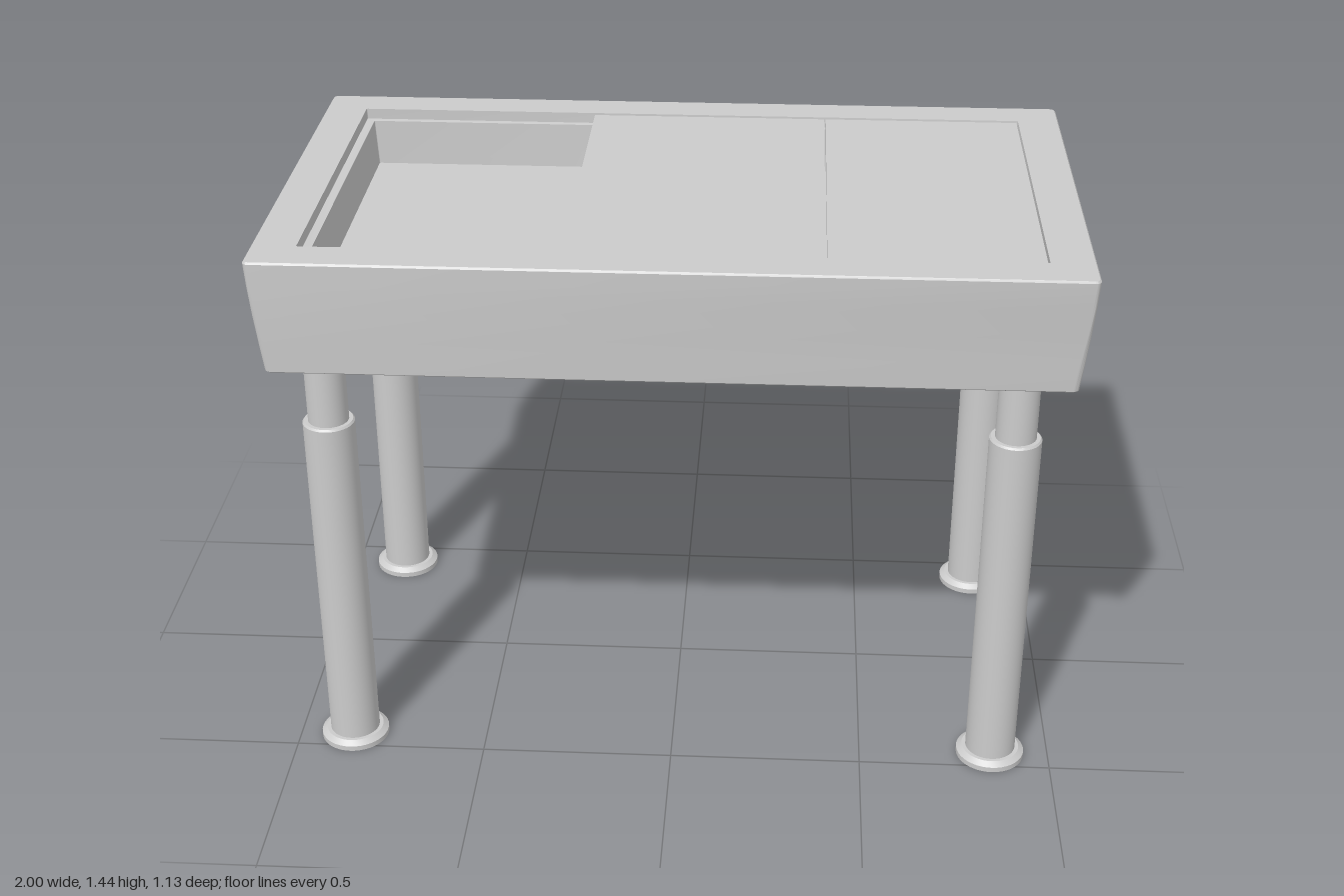
import * as THREE from 'three';
import { toCreasedNormals } from 'three/addons/utils/BufferGeometryUtils.js';

const material = new THREE.MeshStandardMaterial({ color: 0xcccccc });

function addMesh(parent, name, geometry, x = 0, y = 0, z = 0) {
  const mesh = new THREE.Mesh(geometry, material);
  mesh.name = name;
  mesh.position.set(x, y, z);
  parent.add(mesh);
  return mesh;
}

// Rounded rectangle ring, seen counter-clockwise in x / -z
function ring([hx, hz, y, r], steps = 5) {
  const points = [];
  const corners = [[1, 1], [-1, 1], [-1, -1], [1, -1]];
  corners.forEach(([sx, sz], c) => {
    for (let i = 0; i <= steps; i++) {
      const a = (c + i / steps) * Math.PI / 2;
      points.push([sx * (hx - r) + r * Math.cos(a), y, -(sz * (hz - r) + r * Math.sin(a))]);
    }
  });
  return points;
}

// Skin a list of rings and close both ends
function loft(sections) {
  const positions = [], index = [];
  const rings = sections.map((s) => ring(s));
  const n = rings[0].length;
  rings.forEach((r) => r.forEach((p) => positions.push(...p)));
  for (let k = 0; k < rings.length - 1; k++) {
    for (let i = 0; i < n; i++) {
      const j = (i + 1) % n;
      const a = k * n + i, b = k * n + j, c = a + n, d = b + n;
      index.push(a, b, d, a, d, c);
    }
  }
  const last = (rings.length - 1) * n;
  const bottom = positions.length / 3;
  positions.push(0, sections[0][2], 0, 0, sections.at(-1)[2], 0);
  for (let i = 0; i < n; i++) {
    const j = (i + 1) % n;
    index.push(bottom, j, i, bottom + 1, last + i, last + j);
  }
  const geometry = new THREE.BufferGeometry();
  geometry.setAttribute('position', new THREE.Float32BufferAttribute(positions, 3));
  geometry.setIndex(index);
  return toCreasedNormals(geometry, 0.6);
}

function lathe(profile) {
  const points = profile.map(([r, y]) => new THREE.Vector2(r, y));
  return toCreasedNormals(new THREE.LatheGeometry(points, 40), 0.6);
}

export function createModel() {
  const table = new THREE.Group();
  table.name = 'table';

  // Tub: underside, flared outer wall, rim, stepped inner wall, floor
  addMesh(table, 'tub', loft([
    [0.970, 0.550, 1.145, 0.014],
    [0.974, 0.555, 1.149, 0.016],
    [0.982, 0.559, 1.22, 0.016],
    [0.990, 0.563, 1.30, 0.016],
    [0.996, 0.565, 1.37, 0.016],
    [1.000, 0.566, 1.435, 0.016],
    [0.996, 0.562, 1.44, 0.012],
    [0.890, 0.465, 1.44, 0.003],
    [0.889, 0.464, 1.412, 0.003],
    [0.868, 0.452, 1.41, 0.003],
    [0.860, 0.445, 1.29, 0.003],
  ]));

  // Sliding lid panels resting on the inner ledge
  [[-0.26, 0.366], [0.37, 0.886]].forEach(([x0, x1], i) => {
    addMesh(table, i ? 'fixedLidPanel' : 'slidingLidPanel',
      new THREE.BoxGeometry(x1 - x0, 0.024, 0.922), (x0 + x1) / 2, 1.424, 0);
  });

  // Telescopic legs with round feet
  for (const x of [-0.855, 0.847]) {
    for (const z of [-0.422, 0.437]) {
      const leg = new THREE.Group();
      leg.name = (z > 0 ? 'front' : 'back') + (x > 0 ? 'Left' : 'Right') + 'Leg';
      leg.position.set(x, 0, z);
      addMesh(leg, 'foot', lathe([[0, 0], [0.089, 0], [0.089, 0.014], [0.075, 0.025], [0, 0.025]]));
      addMesh(leg, 'outerTube', lathe([[0, 0.02], [0.065, 0.02], [0.065, 0.956], [0.061, 0.961], [0, 0.961]]));
      addMesh(leg, 'innerTube', new THREE.CylinderGeometry(0.051, 0.051, 0.2, 40), 0, 1.055, 0);
      table.add(leg);
    }
  }
  return table;
}
